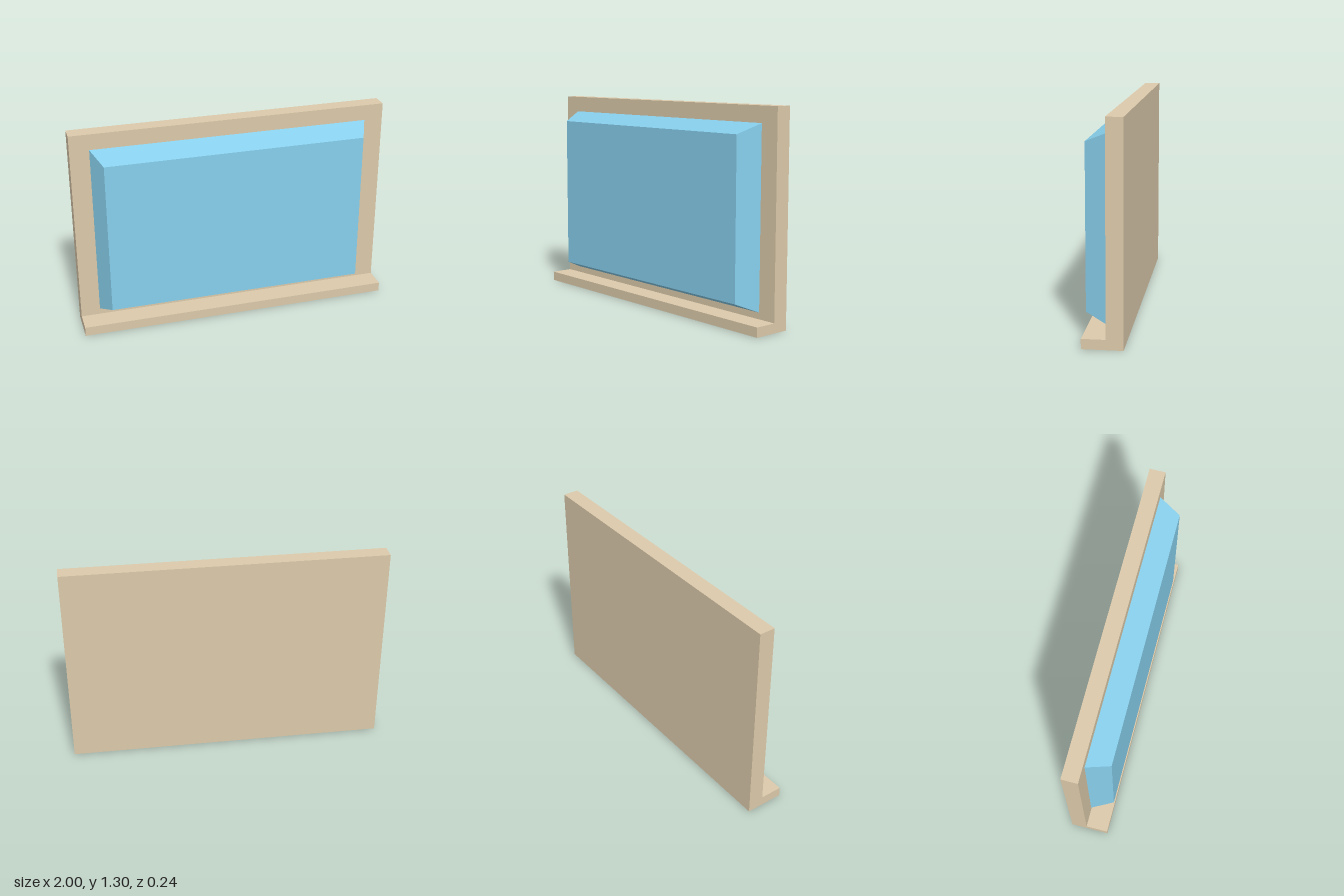
import * as THREE from 'three';

export function createModel() {
  const model = new THREE.Group();
  const tan = new THREE.MeshStandardMaterial({ color: 0xdbc9aa });
  const blue = new THREE.MeshStandardMaterial({ color: 0x87ceeb });

  // Backboard and bottom ledge: one L profile (z, y) extruded across the width
  const back = -0.12, boardFront = -0.02, front = 0.12;
  const profile = new THREE.Shape([
    [back, 0], [front, 0], [front, 0.06], [boardFront, 0.06], [boardFront, 1.3], [back, 1.3],
  ].map(([z, y]) => new THREE.Vector2(z, y)));
  const frameGeometry = new THREE.ExtrudeGeometry(profile, { depth: 2, bevelEnabled: false });
  frameGeometry.rotateY(-Math.PI / 2).translate(1, 0, 0);
  const frame = new THREE.Mesh(frameGeometry, tan);
  frame.name = 'backboardWithLedge';
  model.add(frame);

  // Raised panel: a box whose front face is inset on all four sides
  const inset = 0.06;
  const panelGeometry = new THREE.BoxGeometry(1.76, 1.1, front - boardFront);
  const pos = panelGeometry.attributes.position;
  for (let i = 0; i < pos.count; i++) {
    if (pos.getZ(i) < 0) continue;
    pos.setX(i, pos.getX(i) - Math.sign(pos.getX(i)) * inset);
    pos.setY(i, pos.getY(i) - Math.sign(pos.getY(i)) * inset);
  }
  panelGeometry.computeVertexNormals();
  const panel = new THREE.Mesh(panelGeometry, blue);
  panel.name = 'raisedPanel';
  panel.position.set(0, 0.65, (front + boardFront) / 2);
  model.add(panel);

  return model;
}
